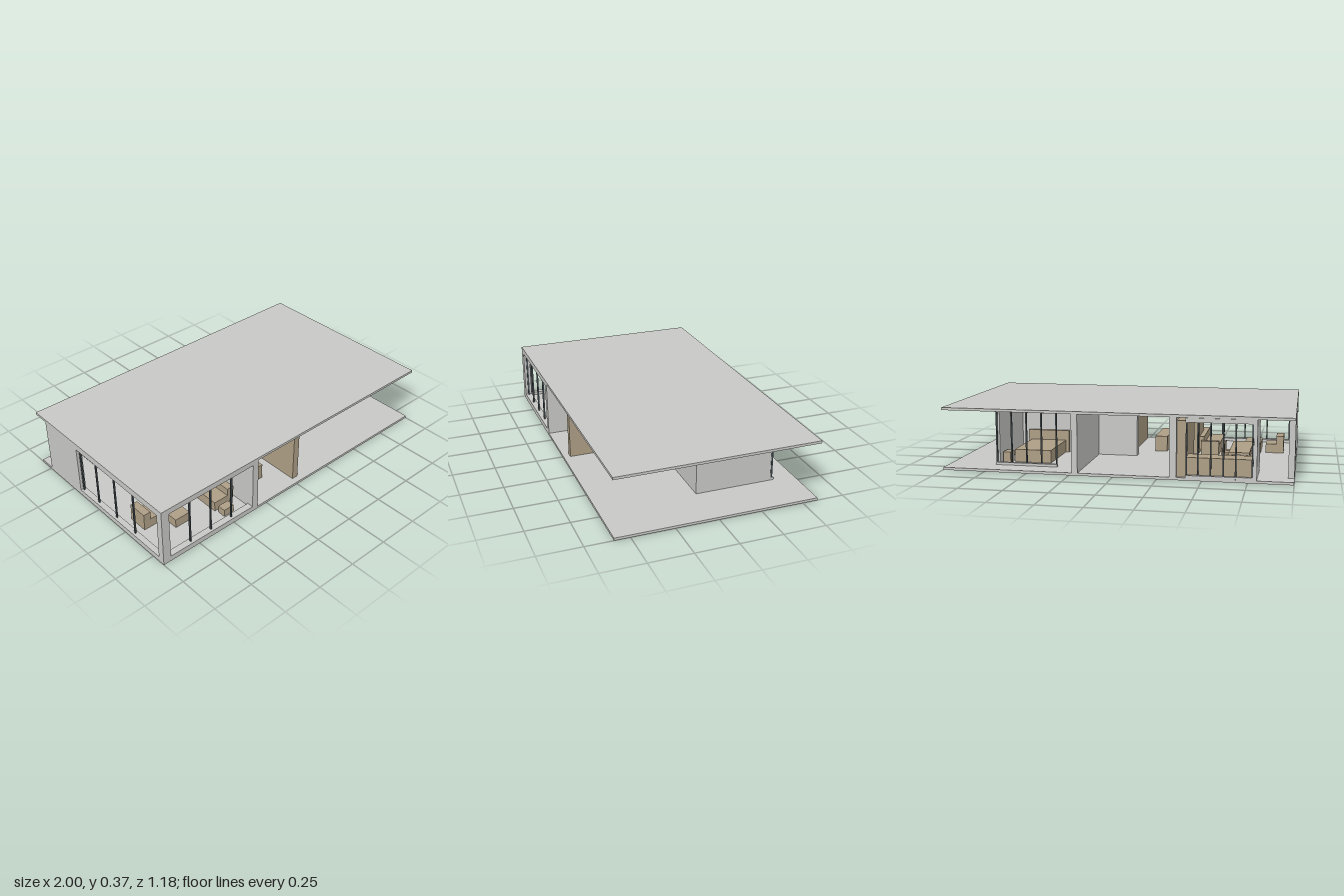
import * as THREE from 'three';

const concrete = new THREE.MeshStandardMaterial({ color: 0xc8c8c6 });
concrete.name = 'pale concrete';
const timber = new THREE.MeshStandardMaterial({ color: 0xae9f86 });
timber.name = 'light timber';
const metal = new THREE.MeshStandardMaterial({ color: 0x4a5357 });
metal.name = 'dark metal';

const FLOOR = 0.015, CEIL = 0.35;

export function createModel() {
  const model = new THREE.Group();
  model.name = 'pavilionHouse';

  // box given by its lower and upper limits on each axis
  const box = (name, mat, x0, x1, y0, y1, z0, z1) => {
    const m = new THREE.Mesh(new THREE.BoxGeometry(x1 - x0, y1 - y0, z1 - z0), mat);
    m.position.set((x0 + x1) / 2, (y0 + y1) / 2, (z0 + z1) / 2);
    m.name = name;
    model.add(m);
  };
  const wall = (name, x0, x1, z0, z1, y0 = FLOOR, y1 = CEIL) =>
    box(name, concrete, x0, x1, y0, y1, z0, z1);
  const wood = (name, x0, x1, y1, z0, z1, y0 = FLOOR) =>
    box(name, timber, x0, x1, y0, y1, z0, z1);
  const mullion = (x, z) =>
    box('mullion', metal, x - 0.004, x + 0.004, 0.03, 0.33, z - 0.005, z + 0.005);

  // floor and roof slabs
  box('floorSlab', concrete, -1, 1, 0, FLOOR, -0.59, 0.59);
  box('roofSlab', concrete, -1, 1, CEIL, 0.365, -0.59, 0.59);

  // living room front window
  wall('frontPier', -1, -0.95, 0.55, 0.59);
  wall('frontSill', -0.95, -0.36, 0.55, 0.59, FLOOR, 0.033);
  wall('frontHead', -0.95, -0.36, 0.55, 0.59, 0.33, CEIL);
  for (const x of [-0.945, -0.8, -0.655, -0.505]) mullion(x, 0.57);

  // living room side wall and window
  wall('sideWall', -1, -0.965, -0.49, -0.18);
  wall('sideSill', -1, -0.965, -0.18, 0.55, FLOOR, 0.033);
  wall('sideHead', -1, -0.965, -0.18, 0.55, 0.325, CEIL);
  for (const z of [-0.17, -0.02, 0.15, 0.32, 0.54]) mullion(-0.982, z);

  // wall between living room and study, with a passage
  wall('dividingWallFront', -0.36, -0.32, 0.355, 0.59);
  wall('dividingWallBack', -0.36, -0.32, -0.59, 0.02);
  wall('passageHead', -0.36, -0.32, 0.02, 0.355, 0.327, CEIL);
  wall('passageSill', -0.36, -0.32, 0.02, 0.09, FLOOR, 0.02);
  wood('dividingCabinet', -0.405, -0.32, 0.327, 0.09, 0.355);

  // kitchen at the back: porch wall, window, counter and tall cabinets
  wall('porchWall', -0.8, -0.78, -0.59, -0.3);
  wall('kitchenSill', -0.685, -0.41, -0.595, -0.575, FLOOR, 0.03);
  wall('kitchenHead', -0.685, -0.41, -0.595, -0.575, 0.325, CEIL);
  wall('kitchenSill', -0.78, -0.685, -0.59, -0.575, FLOOR, 0.03);
  wall('kitchenHead', -0.78, -0.685, -0.59, -0.575, 0.325, CEIL);
  for (const x of [-0.415, -0.478, -0.548, -0.618, -0.685, -0.775]) mullion(x, -0.583);
  wood('kitchenCounter', -0.775, -0.41, 0.125, -0.565, -0.46);
  wood('tallCabinet', -0.41, -0.36, 0.33, -0.57, -0.2);

  // cross wall with a wide doorway
  wall('crossWallRight', -0.32, -0.245, -0.05, 0.01);
  wall('crossWallHead', -0.245, -0.04, -0.05, 0.01, 0.29, CEIL);
  wall('crossWallLeft', -0.04, 0, -0.05, 0.01);
  wall('crossWallBacking', 0, 0.2, -0.05, -0.035);
  wall('crossWallTop', 0, 0.235, -0.035, 0.01, 0.335, CEIL);

  // timber partition and wardrobe
  wood('partition', 0, 0.04, 0.333, 0.17, 0.55);
  wood('wardrobe', 0, 0.225, 0.333, -0.035, 0.02);

  // bedroom walls and back window
  wall('bedroomPartyWall', 0.2, 0.235, -0.59, -0.035);
  wall('bedroomFrontWall', 0.34, 0.725, 0, 0.02);
  wall('bedroomSideWall', 0.705, 0.725, -0.44, 0);
  wall('bedroomSill', 0.355, 0.725, -0.46, -0.44, FLOOR, 0.03);
  wall('bedroomHead', 0.355, 0.725, -0.46, -0.44, 0.328, CEIL);
  for (let i = 0; i < 5; i++) mullion(0.36 + i * 0.09, -0.447);

  // bed with headboard and bedside tables
  wood('bed', 0.42, 0.64, 0.09, -0.36, -0.02);
  wood('headboard', 0.4, 0.66, 0.15, -0.02, 0);
  wood('bedsideTable', 0.655, 0.7, 0.08, -0.4, -0.33);

  // study desk and stool
  wood('desk', -0.2, -0.125, 0.11, 0.12, 0.42);
  wood('stool', -0.262, -0.217, 0.07, 0.36, 0.45);

  // armchair and low table
  wood('armchairSeat', -0.91, -0.81, 0.07, 0.2, 0.32);
  wood('armchairBack', -0.92, -0.875, 0.12, 0.2, 0.32);
  wood('lowTable', -0.78, -0.68, 0.07, 0.16, 0.42);

  // corner sofa
  wood('sofaSeat', -0.53, -0.42, 0.075, 0.1, 0.46);
  wood('sofaBack', -0.435, -0.39, 0.12, 0.1, 0.46, 0.04);
  wood('sofaArm', -0.53, -0.42, 0.1, 0.06, 0.1);
  wood('footstool', -0.52, -0.45, 0.06, 0.48, 0.53);

  // dining table with chairs on both sides
  wood('diningTop', -0.74, -0.62, 0.105, -0.28, 0.08, 0.09);
  for (const x of [-0.73, -0.64])
    for (const z of [-0.27, 0.06]) wood('diningLeg', x, x + 0.012, 0.09, z, z + 0.012);
  for (const side of [-1, 1])
    for (let i = 0; i < 3; i++) {
      const x = -0.68 + side * 0.08, z = -0.25 + i * 0.11, b = x + side * 0.022;
      wood('chairSeat', x - 0.025, x + 0.025, 0.065, z, z + 0.05, 0.03);
      wood('chairBack', b - 0.004, b + 0.004, 0.12, z, z + 0.05, 0.03);
    }

  return model;
}
